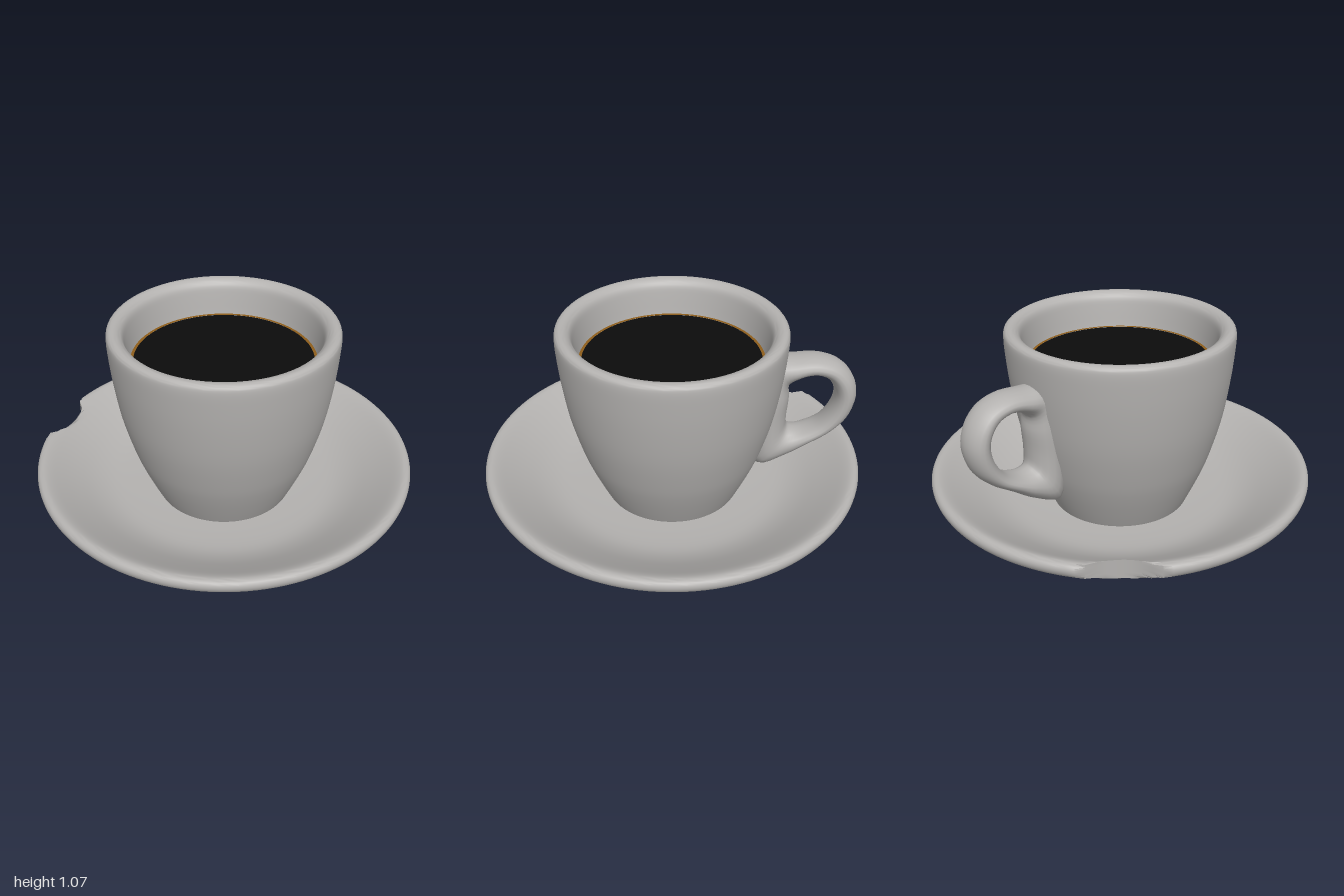
import * as THREE from 'three';
import { toCreasedNormals } from 'three/addons/utils/BufferGeometryUtils.js';

const ceramic = new THREE.MeshStandardMaterial({ color: 0xb4b2b0 });
ceramic.name = 'ceramic grey';
const coffeeBlack = new THREE.MeshStandardMaterial({ color: 0x0c0c0c });
coffeeBlack.name = 'coffee black';
const cremaBrown = new THREE.MeshStandardMaterial({ color: 0x8f5e1c });
cremaBrown.name = 'crema brown';

const points = (list) => list.map(([x, y]) => new THREE.Vector2(x, y));
const smooth = (list, n) => new THREE.SplineCurve(points(list)).getPoints(n);

function add(group, name, geometry, material) {
  const mesh = new THREE.Mesh(geometry, material);
  mesh.name = name;
  group.add(mesh);
  return mesh;
}

// Broken rim: [angle in degrees, radius left at that angle]
const chip = [[44, 1.0], [49.4, 0.922], [54, 0.902], [58.9, 0.91], [62.3, 0.926], [66.3, 1.0]];

function chipRadius(angle) {
  for (let i = 0; i < chip.length - 1; i++) {
    const [a0, r0] = chip[i], [a1, r1] = chip[i + 1];
    if (angle >= a0 && angle <= a1) return r0 + (r1 - r0) * (angle - a0) / (a1 - a0);
  }
  return Infinity;
}

function saucerGeometry() {
  const profile = [
    ...points([[0, 0], [0.4, 0], [0.45, 0.01], [0.62, 0.004], [0.645, 0.008]]),
    ...smooth([[0.66, 0.016], [0.77, 0.09], [0.88, 0.17], [0.96, 0.22], [0.99, 0.245], [1, 0.275],
      [0.99, 0.298], [0.965, 0.305], [0.93, 0.292], [0.88, 0.262], [0.8, 0.212], [0.7, 0.155],
      [0.6, 0.118], [0.48, 0.105], [0.34, 0.1]], 42),
    ...points([[0, 0.1]]),
  ];
  const geometry = new THREE.LatheGeometry(profile, 144);
  const pos = geometry.attributes.position;
  // Pull the rim back to the broken edge
  for (let i = 0; i < pos.count; i++) {
    const x = pos.getX(i), z = pos.getZ(i), r = Math.hypot(x, z);
    const limit = chipRadius(THREE.MathUtils.radToDeg(Math.atan2(-z, -x)));
    if (r > limit) {
      pos.setXYZ(i, x * limit / r, Math.min(pos.getY(i), 0.29), z * limit / r);
    }
  }
  return toCreasedNormals(geometry, 0.6);
}

function cupGeometry() {
  const profile = [
    ...points([[0, 0.07], [0.35, 0.07]]),
    ...smooth([[0.365, 0.1], [0.405, 0.19], [0.45, 0.3], [0.487, 0.41], [0.535, 0.6], [0.565, 0.8],
      [0.579, 0.96], [0.581, 1.035], [0.572, 1.06], [0.55, 1.069], [0.522, 1.06], [0.5, 1.035],
      [0.488, 0.98], [0.472, 0.88], [0.455, 0.8]], 48),
  ];
  return toCreasedNormals(new THREE.LatheGeometry(profile, 72), 0.6);
}

// Closed loop of elliptical sections: [outer r, outer y, inner r, inner y, half width]
function handleGeometry() {
  const stations = [
    [0.50, 0.88, 0.60, 0.745, 0.10], [0.62, 0.903, 0.635, 0.785, 0.10],
    [0.74, 0.907, 0.71, 0.815, 0.095], [0.85, 0.87, 0.775, 0.80, 0.09],
    [0.92, 0.79, 0.815, 0.755, 0.09], [0.945, 0.69, 0.832, 0.685, 0.09],
    [0.915, 0.57, 0.81, 0.595, 0.09], [0.845, 0.485, 0.755, 0.515, 0.09],
    [0.72, 0.395, 0.685, 0.477, 0.095], [0.60, 0.31, 0.63, 0.475, 0.10],
    [0.45, 0.25, 0.605, 0.495, 0.11], [0.42, 0.48, 0.60, 0.56, 0.11],
    [0.45, 0.68, 0.605, 0.67, 0.11],
  ];
  const loop = (f) => new THREE.CatmullRomCurve3(stations.map(f), true);
  const outer = loop((s) => new THREE.Vector3(s[0], s[1], s[4]));
  const inner = loop((s) => new THREE.Vector3(s[2], s[3], s[4]));
  const rings = 52, sides = 18, vertices = [], index = [];
  for (let i = 0; i < rings; i++) {
    const o = outer.getPoint(i / rings), n = inner.getPoint(i / rings);
    for (let j = 0; j < sides; j++) {
      const v = j / sides * Math.PI * 2, c = Math.cos(v) / 2;
      vertices.push(o.x * (0.5 + c) + n.x * (0.5 - c), o.y * (0.5 + c) + n.y * (0.5 - c), o.z * Math.sin(v));
      const i2 = (i + 1) % rings, j2 = (j + 1) % sides;
      const a = i * sides + j, b = i * sides + j2, d = i2 * sides + j, e = i2 * sides + j2;
      index.push(a, b, d, b, e, d);
    }
  }
  const geometry = new THREE.BufferGeometry();
  geometry.setAttribute('position', new THREE.Float32BufferAttribute(vertices, 3));
  geometry.setIndex(index);
  geometry.computeVertexNormals();
  return geometry;
}

export function createModel() {
  const model = new THREE.Group();
  model.name = 'coffee cup on chipped saucer';

  add(model, 'saucer', saucerGeometry(), ceramic);

  const cup = new THREE.Group();
  cup.name = 'cup';
  model.add(cup);
  add(cup, 'cupBody', cupGeometry(), ceramic);
  // The handle points to the back, turned slightly to the left
  add(cup, 'handle', handleGeometry(), ceramic).rotation.y = THREE.MathUtils.degToRad(76.5);

  // Coffee surface with a thin crema edge
  const coffee = add(cup, 'coffee', new THREE.CircleGeometry(0.459, 72), coffeeBlack);
  const crema = add(cup, 'crema', new THREE.RingGeometry(0.457, 0.476, 72), cremaBrown);
  coffee.position.y = 0.88;
  crema.position.y = 0.882;
  coffee.rotation.x = crema.rotation.x = -Math.PI / 2;

  return model;
}
